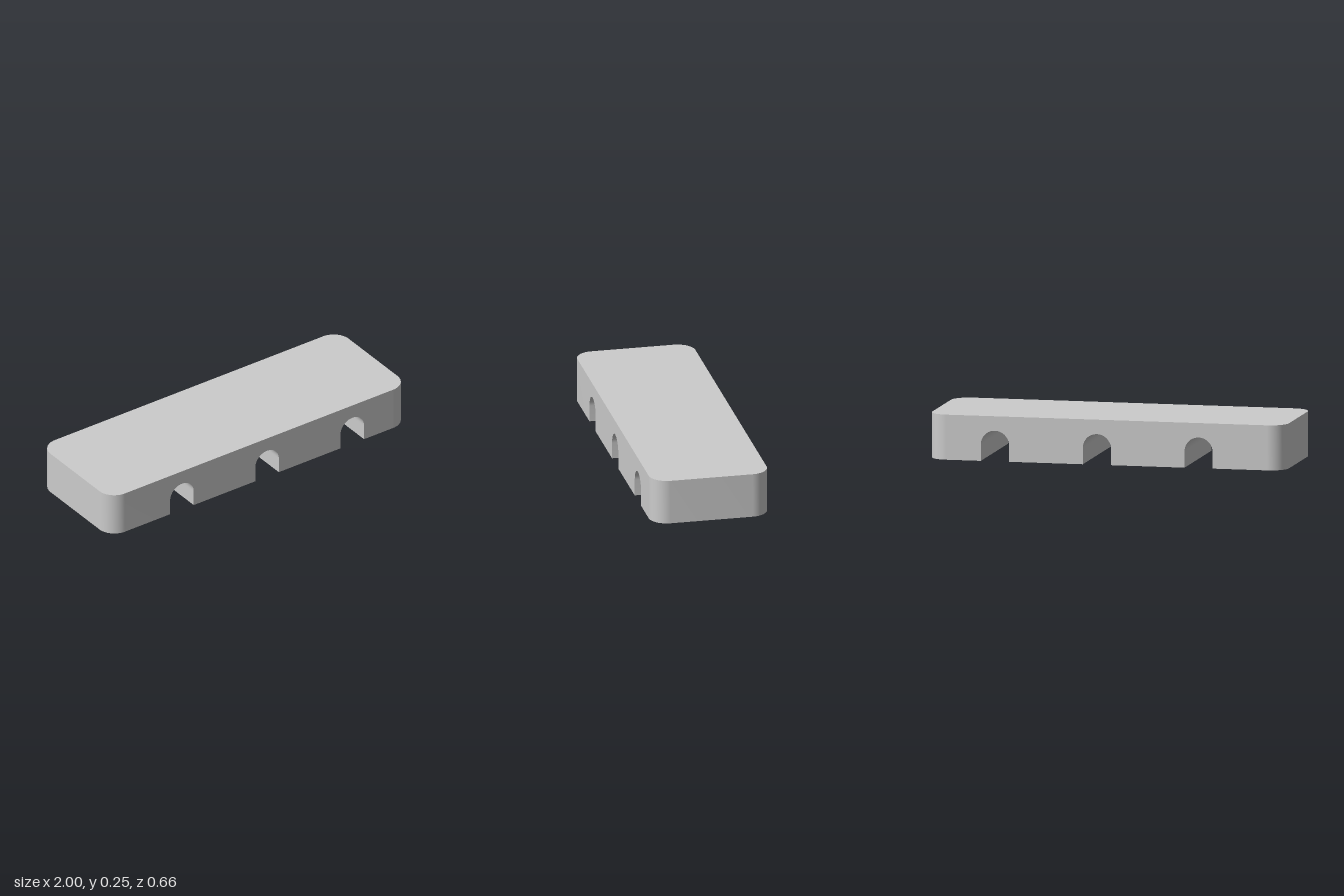
import * as THREE from 'three';
import { mergeGeometries, toCreasedNormals } from 'three/addons/utils/BufferGeometryUtils.js';

// Dimensions in hundredths of a unit
const HALF_LENGTH = 100, HALF_DEPTH = 33, HEIGHT = 24.9, CORNER = 10;
const SEAM = HALF_LENGTH - CORNER;
const CHANNELS = [-51.7, 5.4, 62.6], CHANNEL_RADIUS = 7.9, SPRING = 9;

// Extrude a shape and drop the inner walls where middle and ends meet
function extrude(shape, depth) {
  const geo = new THREE.ExtrudeGeometry(shape, { depth, bevelEnabled: false, curveSegments: 16 });
  const p = geo.attributes.position;
  const kept = [];
  for (let i = 0; i < p.count; i += 3) {
    const onWall = (x) => [0, 1, 2].every((k) => Math.abs(p.getX(i + k) - x) < 1e-3);
    if (onWall(SEAM) || onWall(-SEAM)) continue;
    for (let k = 0; k < 3; k++) kept.push(p.getX(i + k), p.getY(i + k), p.getZ(i + k));
  }
  const out = new THREE.BufferGeometry();
  out.setAttribute('position', new THREE.Float32BufferAttribute(kept, 3));
  return out;
}

// Middle of the block: front profile with round-topped channels
function middle() {
  const s = new THREE.Shape();
  s.moveTo(-SEAM, 0);
  for (const c of CHANNELS) {
    s.lineTo(c - CHANNEL_RADIUS, 0);
    s.absarc(c, SPRING, CHANNEL_RADIUS, Math.PI, 0, true);
    s.lineTo(c + CHANNEL_RADIUS, 0);
  }
  s.lineTo(SEAM, 0);
  s.lineTo(SEAM, HEIGHT);
  s.lineTo(-SEAM, HEIGHT);
  s.closePath();
  return extrude(s, HALF_DEPTH * 2).translate(0, 0, -HALF_DEPTH);
}

// End of the block: plan outline with two rounded corners
function end() {
  const z = HALF_DEPTH - CORNER;
  const s = new THREE.Shape();
  s.moveTo(SEAM, -HALF_DEPTH);
  s.absarc(SEAM, -z, CORNER, -Math.PI / 2, 0, false);
  s.absarc(SEAM, z, CORNER, 0, Math.PI / 2, false);
  s.closePath();
  return extrude(s, HEIGHT).rotateX(-Math.PI / 2);
}

export function createModel() {
  const group = new THREE.Group();
  group.name = 'channelledBlock';

  // Join the sections into one shell, smooth on the curves and sharp at the edges
  const shell = mergeGeometries([middle(), end(), end().rotateY(Math.PI)]);
  const geometry = toCreasedNormals(shell, 0.6).scale(0.01, 0.01, 0.01);

  const block = new THREE.Mesh(geometry, new THREE.MeshStandardMaterial({ color: 0xcccccc }));
  block.name = 'block';
  group.add(block);
  return group;
}
